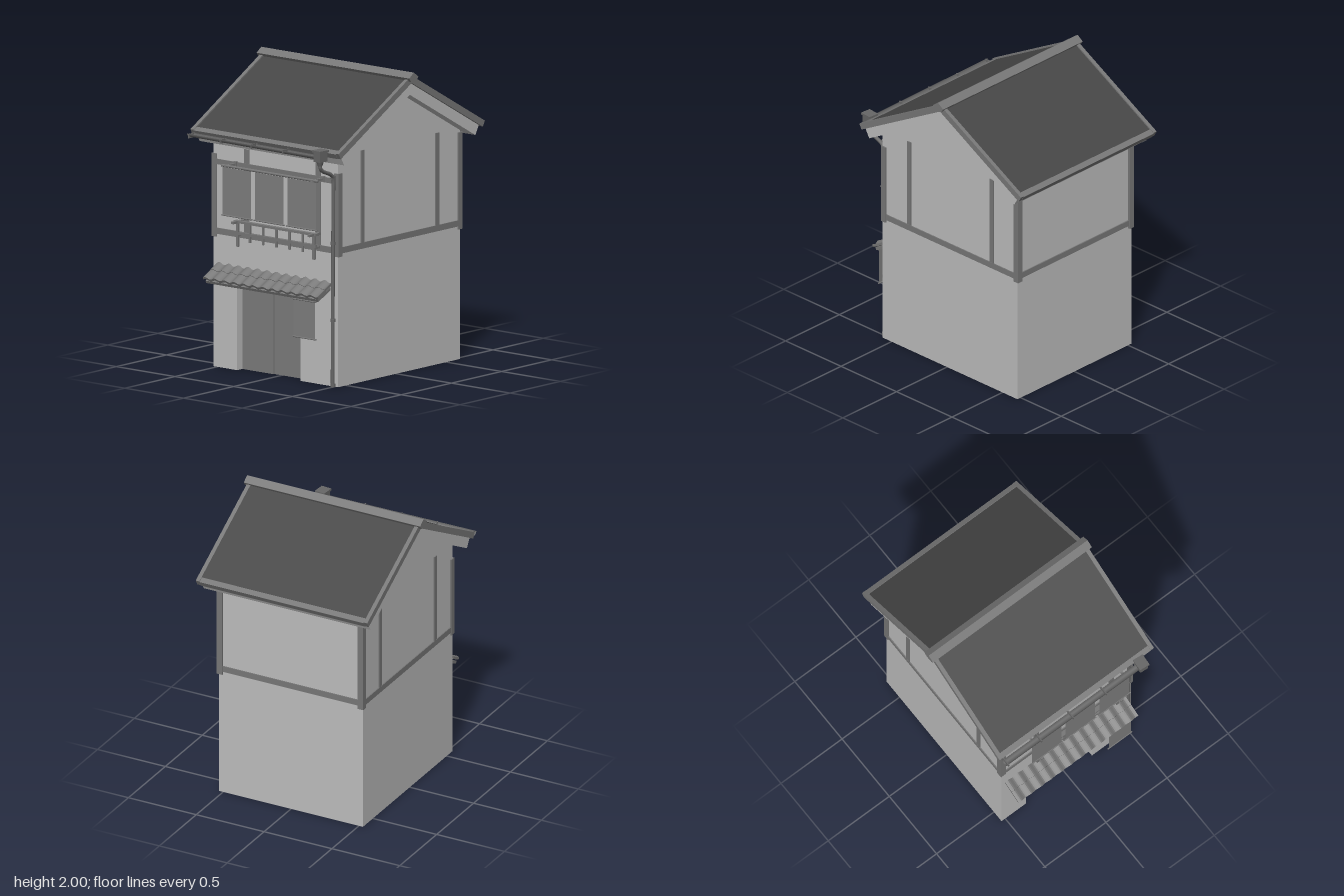
import * as THREE from 'three';

export function createModel() {
  const model = new THREE.Group();
  const paint = (name, color, side = THREE.FrontSide) => {
    const m = new THREE.MeshStandardMaterial({ color, side });
    m.name = name;
    return m;
  };
  const plaster = paint('plaster', 0xbcbcbc, THREE.DoubleSide);
  const wood = paint('wood', 0x777777);
  const tile = paint('roof tile', 0x464646);
  const door = paint('door panel', 0x7b7b7b);
  const cloth = paint('blind cloth', 0x7e7e7e, THREE.DoubleSide);
  const metal = paint('gutter metal', 0x666666, THREE.DoubleSide);

  const add = (name, geo, mat, x = 0, y = 0, z = 0) => {
    const mesh = new THREE.Mesh(geo, mat);
    mesh.name = name;
    mesh.position.set(x, y, z);
    model.add(mesh);
    return mesh;
  };
  const box = (name, mat, x0, x1, y0, y1, z0, z1) =>
    add(name, new THREE.BoxGeometry(x1 - x0, y1 - y0, z1 - z0), mat, (x0 + x1) / 2, (y0 + y1) / 2, (z0 + z1) / 2);
  const rod = (name, mat, x0, x1, y, z, r) =>
    add(name, new THREE.CylinderGeometry(r, r, x1 - x0, 8).rotateZ(Math.PI / 2), mat, (x0 + x1) / 2, y, z);
  const shapeOf = pts => new THREE.Shape(pts.map(p => new THREE.Vector2(...p)));
  // Extrudes a [z, y] profile along x
  const prism = (name, mat, pts, x0, x1) => {
    const geo = new THREE.ExtrudeGeometry(shapeOf(pts), { depth: x1 - x0, bevelEnabled: false });
    return add(name, geo.rotateY(-Math.PI / 2).translate(x1, 0, 0), mat);
  };

  // Walls: open underneath, with a recessed doorway
  const front = 0.58, back = -0.635, half = 0.53, ridgeZ = -0.035;
  const doorL = -0.33, doorR = 0.21, doorTop = 0.55, doorZ = 0.515;
  const frontShape = shapeOf([[-half, 0], [doorL, 0], [doorL, doorTop], [doorR, doorTop], [doorR, 0],
    [half, 0], [half, 1.52], [-half, 1.52]]);
  add('frontWall', new THREE.ShapeGeometry(frontShape), plaster, 0, 0, front);
  add('backWall', new THREE.PlaneGeometry(2 * half, 1.53).rotateY(Math.PI), plaster, 0, 0.765, back);
  const gable = shapeOf([[-front, 0], [-back, 0], [-back, 1.53], [-ridgeZ, 1.87], [-front, 1.52]]);
  add('rightGableWall', new THREE.ShapeGeometry(gable).rotateY(Math.PI / 2), plaster, half);
  add('leftGableWall', new THREE.ShapeGeometry(gable).rotateY(Math.PI / 2), plaster, -half);
  const depth = front - doorZ, midZ = (front + doorZ) / 2;
  add('doorReveal', new THREE.PlaneGeometry(depth, doorTop).rotateY(Math.PI / 2), plaster, doorL, doorTop / 2, midZ);
  add('doorReveal', new THREE.PlaneGeometry(depth, doorTop).rotateY(-Math.PI / 2), plaster, doorR, doorTop / 2, midZ);
  add('doorHead', new THREE.PlaneGeometry(doorR - doorL, depth).rotateX(Math.PI / 2), plaster, (doorL + doorR) / 2, doorTop, midZ);
  box('slidingDoor', door, doorL, -0.065, 0, doorTop, doorZ - 0.005, doorZ + 0.012);
  box('slidingDoor', door, -0.07, doorR, 0, doorTop, doorZ - 0.012, doorZ + 0.002);

  // Timber frame of the upper floor
  for (const s of [-1, 1]) {
    const sideBox = (name, a, b, ...r) => box(name, wood, Math.min(s * a, s * b), Math.max(s * a, s * b), ...r);
    sideBox('frontCornerPost', 0.5, 0.54, 0.86, 1.41, 0.545, 0.587);
    sideBox('backCornerPost', 0.5, 0.54, 0.86, 1.5, -0.65, -0.61);
    sideBox('sideBeam', 0.515, 0.537, 0.88, 0.92, -0.61, 0.545);
    sideBox('sideStud', 0.52, 0.536, 0.92, 1.53, 0.322, 0.355);
    sideBox('sideStud', 0.52, 0.536, 0.92, 1.53, -0.422, -0.387);
  }
  box('backBeam', wood, -0.5, 0.5, 0.88, 0.92, -0.643, -0.62);
  box('frontLowerBeam', wood, -0.5, 0.5, 0.88, 0.92, 0.565, 0.587);
  box('frontUpperBeam', wood, -0.5, 0.5, 1.34, 1.375, 0.565, 0.587);
  for (const x of [-0.247, 0.365]) box('frontStud', wood, x - 0.021, x + 0.021, 0.92, 1.47, 0.57, 0.585);

  // Gabled roof made from chevron profiles
  const slope = 0.56, cos = 1 / Math.hypot(1, slope), sin = slope * cos;
  const chevron = (name, mat, top, t, fz, bz, x0, x1) => {
    const yf = top - slope * fz, yb = top - slope * bz;
    return prism(name, mat, [[ridgeZ, top], [ridgeZ - bz, yb], [ridgeZ - bz + t * sin, yb - t * cos],
      [ridgeZ, top - t / cos], [ridgeZ + fz - t * sin, yf - t * cos], [ridgeZ + fz, yf]], x0, x1);
  };
  chevron('roofUnderside', plaster, 1.945, 0.084, 0.695, 0.695, -0.615, 0.615);
  chevron('roofCovering', tile, 1.967, 0.028, 0.71, 0.715, -0.606, 0.606);
  for (const s of [-1, 1]) {
    chevron('vergeBoard', wood, 1.977, 0.042, 0.727, 0.73, s > 0 ? 0.605 : -0.632, s > 0 ? 0.632 : -0.605);
    // Eave strip along the foot of each slope
    const end = s > 0 ? 0.727 : 0.73, start = end - 0.034, y = d => 1.972 - slope * d;
    prism('eaveStrip', wood, [[ridgeZ + s * start, y(start)], [ridgeZ + s * end, y(end)],
      [ridgeZ + s * (end - 0.038 * sin), y(end) - 0.038 * cos],
      [ridgeZ + s * (start - 0.038 * sin), y(start) - 0.038 * cos]], -0.605, 0.605);
  }
  prism('ridgeCap', wood, [[ridgeZ, 2], [ridgeZ - 0.046, 1.967], [ridgeZ - 0.028, 1.942],
    [ridgeZ, 1.935], [ridgeZ + 0.028, 1.942], [ridgeZ + 0.046, 1.967]], -0.65, 0.65);

  // Gutter, rainwater box and downpipe
  const gutter = new THREE.CylinderGeometry(0.023, 0.023, 1.09, 12, 1, true, Math.PI, Math.PI).rotateZ(Math.PI / 2);
  add('gutter', gutter, metal, -0.07, 1.547, 0.722).rotation.z = -0.008;
  for (const x of [-0.6, -0.33, -0.07, 0.2]) box('gutterBracket', metal, x - 0.004, x + 0.004, 1.522, 1.55, 0.67, 0.748);
  add('rainBox', new THREE.BoxGeometry(0.06, 0.065, 0.07), metal, 0.503, 1.542, 0.724).rotation.y = -0.08;
  add('rainBoxRim', new THREE.BoxGeometry(0.074, 0.014, 0.084), metal, 0.503, 1.578, 0.724).rotation.y = -0.08;
  add('rainFunnel', new THREE.CylinderGeometry(0.026, 0.016, 0.03, 12), metal, 0.503, 1.497, 0.728);
  const path = new THREE.CatmullRomCurve3([[0.503, 1.5, 0.728], [0.503, 1.46, 0.725], [0.503, 1.438, 0.695],
    [0.503, 1.41, 0.625], [0.503, 1.385, 0.597], [0.502, 1.3, 0.594], [0.498, 0.7, 0.594], [0.496, 0, 0.594]]
    .map(p => new THREE.Vector3(...p)));
  add('downpipe', new THREE.TubeGeometry(path, 60, 0.0125, 10), metal);
  for (const y of [1.385, 0.95, 0.44, 0.012])
    add('pipeCollar', new THREE.CylinderGeometry(0.017, 0.017, 0.02, 10), metal, 0.499, y, 0.594);

  // Three hanging blinds on a bar
  rod('blindBar', wood, -0.37, 0.45, 1.365, 0.685, 0.009);
  for (const x of [-0.335, 0.41]) {
    box('blindBracket', wood, x - 0.008, x + 0.008, 1.355, 1.37, 0.57, 0.695);
    box('blindBracketPlate', wood, x - 0.012, x + 0.012, 1.345, 1.38, 0.58, 0.6);
  }
  const hanging = (name, x0, x1, y0, y1, z) => {
    add(name, new THREE.PlaneGeometry(x1 - x0, y1 - y0), cloth, (x0 + x1) / 2, (y0 + y1) / 2, z);
    rod(name + 'Rod', wood, x0 - 0.008, x1 + 0.008, y0, z, 0.005);
  };
  for (const x of [-0.362, -0.088, 0.19]) hanging('blind', x, x + 0.243, 1.038, 1.355, 0.686);

  // Railing below the blinds
  box('railTop', wood, -0.3, 0.4, 0.99, 1.005, 0.62, 0.65);
  box('railBottom', wood, -0.29, 0.39, 0.912, 0.93, 0.628, 0.642);
  for (const x of [-0.277, 0.373]) {
    box('railPost', wood, x - 0.01, x + 0.01, 0.832, 0.995, 0.627, 0.643);
    box('railArm', wood, x - 0.01, x + 0.01, 0.988, 1.004, 0.57, 0.69);
    box('railLowerArm', wood, x - 0.009, x + 0.009, 0.9, 0.915, 0.57, 0.64);
  }
  for (let i = 0; i < 5; i++) {
    const x = -0.173 + i * 0.1125;
    box('baluster', wood, x - 0.007, x + 0.007, 0.87, 0.992, 0.629, 0.641);
  }

  // Wavy tiled awning in two overlapping rows
  const tileRow = (y, z) => {
    const top = [], bottom = [];
    for (let i = 0; i <= 96; i++) {
      const x = -0.5 + 0.98 * i / 96, h = 0.007 * Math.sin(i / 8 * Math.PI * 2);
      top.push([x, h + 0.008]);
      bottom.unshift([x, h - 0.008]);
    }
    const geo = new THREE.ExtrudeGeometry(shapeOf([...top, ...bottom]), { depth: 0.085, bevelEnabled: false });
    add('awningTiles', geo, wood, 0, y, z).rotation.x = 0.47;
  };
  tileRow(0.684, 0.568);
  tileRow(0.643, 0.644);
  prism('awningBoard', wood, [[0.56, 0.66], [0.56, 0.642], [0.7, 0.573], [0.708, 0.59]], -0.49, 0.465);

  // Small hanging cloth beside the door
  rod('clothTopRod', wood, 0.245, 0.447, 0.568, 0.7, 0.005);
  hanging('doorCloth', 0.255, 0.438, 0.32, 0.568, 0.7);

  return model;
}
